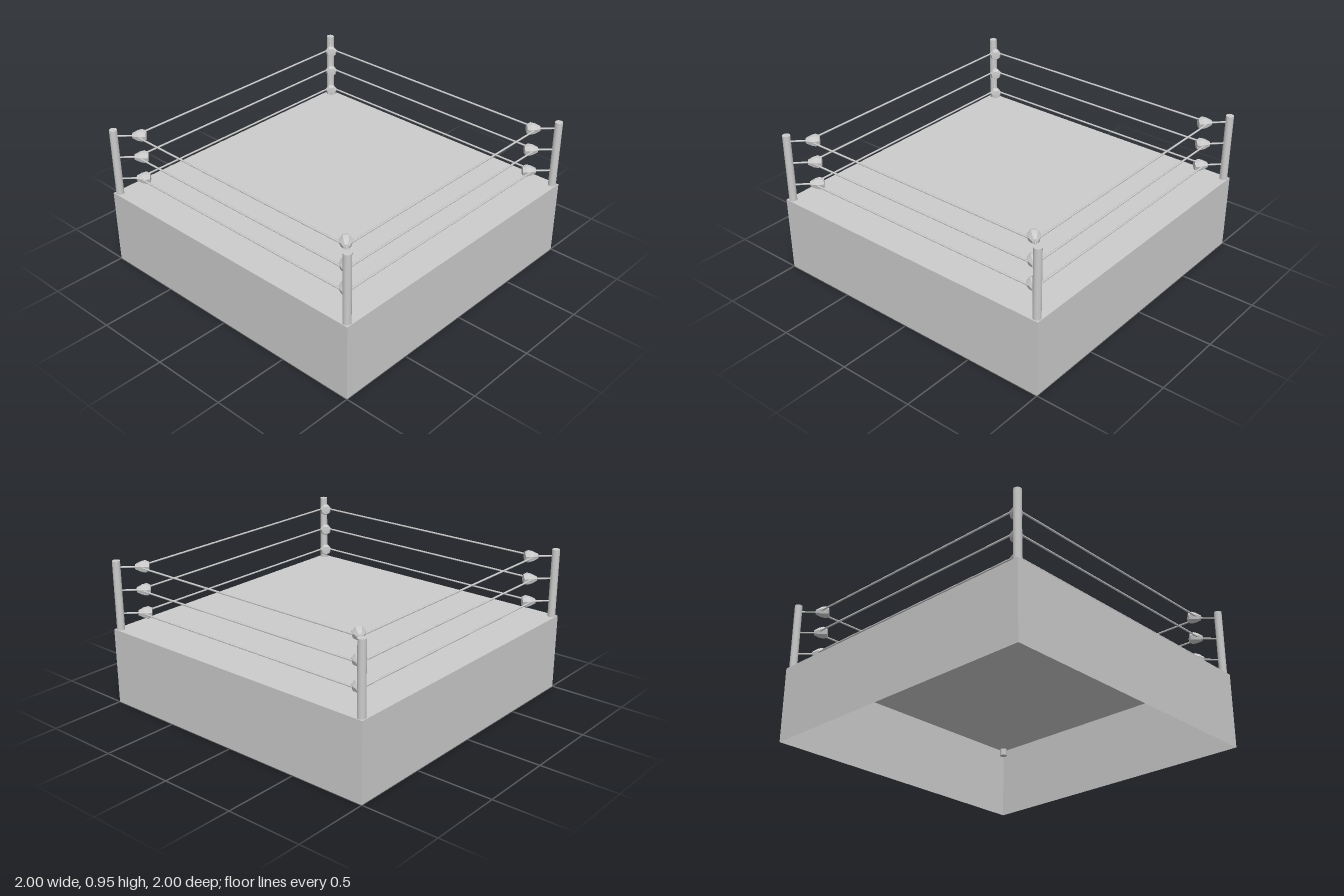
import * as THREE from 'three';

const HALF = 1, DECK = 0.5, POST = 0.97, ROPE = 0.88;
const ROPE_HEIGHTS = [0.605, 0.757, 0.907];

const mat = new THREE.MeshStandardMaterial({ color: 0xcccccc });
const sheetMat = new THREE.MeshStandardMaterial({ color: 0xcccccc, side: THREE.DoubleSide });
const facetMat = new THREE.MeshStandardMaterial({ color: 0xcccccc, flatShading: true });

function add(parent, name, geometry, material = mat) {
  const mesh = new THREE.Mesh(geometry, material);
  mesh.name = name;
  parent.add(mesh);
  return mesh;
}

export function createModel() {
  const ring = new THREE.Group();
  ring.name = 'boxingRing';

  // Platform: deck and four skirts, hollow and open underneath
  const platform = new THREE.Group();
  platform.name = 'platform';
  ring.add(platform);
  add(platform, 'deck', new THREE.PlaneGeometry(2 * HALF, 2 * HALF)
    .rotateX(-Math.PI / 2).translate(0, DECK, 0), sheetMat);
  const skirtGeo = new THREE.PlaneGeometry(2 * HALF, DECK).translate(0, DECK / 2, HALF);

  // Shared corner and rope shapes; rods and pads lie along +z
  const postGeo = new THREE.CylinderGeometry(0.025, 0.025, 0.5, 20).translate(0, 0.7, POST);
  postGeo.translate(0, 0, POST * (Math.SQRT2 - 1));
  const rodStart = 0.86 * Math.SQRT2, rodEnd = POST * Math.SQRT2;
  const rodGeo = new THREE.CylinderGeometry(0.006, 0.006, rodEnd - rodStart, 8)
    .rotateX(Math.PI / 2).translate(0, 0, (rodStart + rodEnd) / 2);
  const padProfile = [[0, 0.828], [0.03, 0.829], [0.041, 0.846], [0.034, 0.866], [0.017, 0.889], [0, 0.89]]
    .map(([r, d]) => new THREE.Vector2(r, d * Math.SQRT2));
  const padGeo = new THREE.LatheGeometry(padProfile, 7).rotateX(Math.PI / 2);
  const ropeGeo = new THREE.CylinderGeometry(0.006, 0.006, 2 * ROPE, 8)
    .rotateZ(Math.PI / 2).translate(0, 0, ROPE);

  for (let i = 0; i < 4; i++) {
    const turn = i * Math.PI / 2;
    add(platform, 'skirt', skirtGeo, sheetMat).rotation.y = turn;

    // Corner post with its padded rope fittings
    const corner = new THREE.Group();
    corner.name = 'corner';
    corner.rotation.y = turn + Math.PI / 4;
    ring.add(corner);
    add(corner, 'post', postGeo);

    for (const y of ROPE_HEIGHTS) {
      add(corner, 'rod', rodGeo).position.y = y;
      add(corner, 'turnbucklePad', padGeo, facetMat).position.y = y;
      const rope = add(ring, 'rope', ropeGeo);
      rope.position.y = y;
      rope.rotation.y = turn;
    }
  }
  return ring;
}
